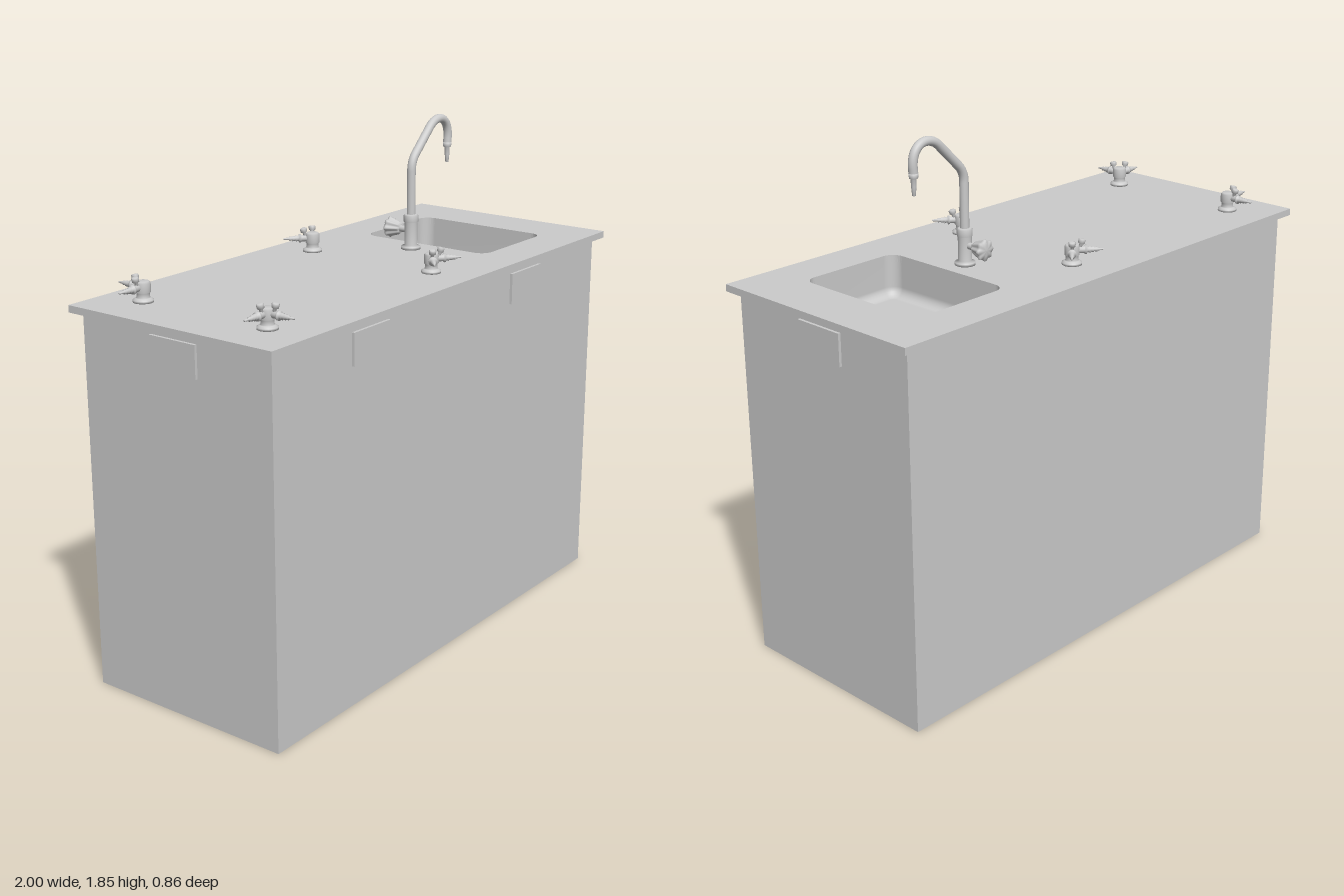
import * as THREE from 'three';

const grey = new THREE.MeshStandardMaterial({ color: 0xcccccc });
const thin = new THREE.MeshStandardMaterial({ color: 0xcccccc, side: THREE.DoubleSide });
const TOP = 1.375;
const SINK = { x: 0.6, z: 0, w: 0.4, d: 0.54, r: 0.045 };

function add(parent, name, geometry, x = 0, y = 0, z = 0, material = grey) {
  const mesh = new THREE.Mesh(geometry, material);
  mesh.name = name;
  mesh.position.set(x, y, z);
  parent.add(mesh);
  return mesh;
}

const lathe = (points, segments = 24) =>
  new THREE.LatheGeometry(points.map(([r, y]) => new THREE.Vector2(r, y)), segments);

// Counter-clockwise corner-rounded rectangle
function roundedRect(w, d, r, cx = 0, cy = 0) {
  const points = [];
  for (let c = 0; c < 4; c++) {
    const sx = c === 0 || c === 3 ? 1 : -1, sy = c < 2 ? 1 : -1;
    for (let i = 0; i <= 8; i++) {
      const a = (c + i / 8) * Math.PI / 2;
      points.push(new THREE.Vector2(
        cx + sx * (w / 2 - r) + r * Math.cos(a), cy + sy * (d / 2 - r) + r * Math.sin(a)));
    }
  }
  return points;
}

const rect = (w, d) => [[-1, -1], [1, -1], [1, 1], [-1, 1]]
  .map(([x, y]) => new THREE.Vector2(x * w / 2, y * d / 2));

// Horizontal slab or tube with one opening, rising from y = 0
function framed(outer, hole, height) {
  const shape = new THREE.Shape(outer);
  shape.holes.push(new THREE.Path(hole));
  return new THREE.ExtrudeGeometry(shape, { depth: height, bevelEnabled: false }).rotateX(-Math.PI / 2);
}

// Basin: stacked rounded loops with a filleted bottom edge
function basinGeometry(depth) {
  const fillet = 0.035, rings = [[0, 0], [0, -depth + fillet]];
  for (let i = 1; i <= 6; i++) {
    const a = i / 6 * Math.PI / 2;
    rings.push([fillet * (1 - Math.cos(a)), -depth + fillet * (1 - Math.sin(a))]);
  }
  const pos = [], index = [];
  let n = 0;
  rings.forEach(([inset, y]) => {
    const loop = roundedRect(SINK.w - 2 * inset, SINK.d - 2 * inset, SINK.r - inset);
    n = loop.length;
    loop.forEach(p => pos.push(p.x, y, -p.y));
  });
  const centre = rings.length * n;
  pos.push(0, -depth, 0);
  for (let k = 0; k < rings.length; k++) {
    for (let i = 0; i < n; i++) {
      const a = k * n + i, b = k * n + (i + 1) % n;
      if (k === rings.length - 1) index.push(a, b, centre);
      else index.push(a, b, b + n, a, b + n, a + n);
    }
  }
  const g = new THREE.BufferGeometry();
  g.setAttribute('position', new THREE.Float32BufferAttribute(pos, 3));
  g.setIndex(index);
  g.computeVertexNormals();
  return g;
}

// Gas valve with two ribbed outlets at the given headings
function valve(x, z, headings) {
  const g = new THREE.Group();
  g.name = 'gasValve';
  g.position.set(x, TOP, z);
  add(g, 'valveBody', lathe([[0, 0], [0.035, 0], [0.035, 0.008], [0.026, 0.014],
    [0.022, 0.016], [0.022, 0.03], [0.026, 0.034], [0.026, 0.064], [0.021, 0.07], [0, 0.07]]));
  headings.forEach(([dx, dz]) => {
    const arm = new THREE.Group();
    arm.name = 'valveOutlet';
    arm.rotation.y = Math.atan2(-dz, dx);
    arm.position.y = 0.05;
    g.add(arm);
    add(arm, 'hoseNozzle', lathe([[0, 0.01], [0.012, 0.01], [0.012, 0.042], [0.016, 0.044], [0.016, 0.05],
      [0.009, 0.053], [0.012, 0.062], [0.008, 0.063], [0.01, 0.074], [0.007, 0.075],
      [0.008, 0.086], [0.005, 0.087], [0.003, 0.108], [0, 0.108]], 16).rotateZ(-Math.PI / 2));
    const knob = add(arm, 'outletKnob', lathe([[0, 0], [0.006, 0], [0.006, 0.018], [0.012, 0.022],
      [0.013, 0.034], [0.009, 0.037], [0, 0.037]], 12), 0.026, 0.002, 0);
    knob.rotation.z = -0.25;
  });
  return g;
}

function faucet() {
  const g = new THREE.Group();
  g.name = 'faucet';
  g.position.set(0.315, TOP, 0);
  add(g, 'faucetBase', lathe([[0, 0], [0.036, 0], [0.036, 0.01], [0.024, 0.016], [0.024, 0.1],
    [0.027, 0.102], [0.027, 0.125], [0.022, 0.13], [0, 0.13]]));

  // Gooseneck spout
  const path = new THREE.CurvePath();
  const v = (x, y) => new THREE.Vector3(x, y, 0);
  path.add(new THREE.LineCurve3(v(0, 0.12), v(0, 0.29)));
  path.add(new THREE.QuadraticBezierCurve3(v(0, 0.29), v(0, 0.325), v(0.025, 0.35)));
  path.add(new THREE.LineCurve3(v(0.025, 0.35), v(0.113, 0.435)));
  path.add(new THREE.CubicBezierCurve3(v(0.113, 0.435), v(0.16, 0.48), v(0.235, 0.465), v(0.232, 0.385)));
  path.add(new THREE.LineCurve3(v(0.232, 0.385), v(0.23, 0.36)));
  add(g, 'spout', new THREE.TubeGeometry(path, 80, 0.016, 16));
  add(g, 'spoutNozzle', lathe([[0, 0.289], [0.006, 0.289], [0.009, 0.32], [0.01, 0.345],
    [0.015, 0.348], [0.017, 0.365], [0, 0.366]], 16), 0.23, 0, 0);

  // Fluted tap handle on a short stem
  const stem = add(g, 'tapStem', new THREE.CylinderGeometry(0.012, 0.012, 0.045, 16), 0, 0.07, -0.035);
  stem.rotation.x = Math.PI / 2;
  const handle = lathe([[0, 0], [0.017, 0], [0.021, 0.006], [0.032, 0.042], [0.036, 0.046],
    [0.034, 0.053], [0.018, 0.057], [0, 0.058]], 48);
  const p = handle.attributes.position;
  for (let i = 0; i < p.count; i++) {
    const s = 1 + 0.1 * Math.cos(8 * Math.atan2(p.getZ(i), p.getX(i)));
    p.setXYZ(i, p.getX(i) * s, p.getY(i), p.getZ(i) * s);
  }
  handle.computeVertexNormals();
  add(g, 'tapHandle', handle, 0, 0.07, -0.046).rotation.x = -Math.PI / 2;
  return g;
}

export function createModel() {
  const model = new THREE.Group();
  model.name = 'labSinkBench';

  // Open-bottomed cabinet shell and worktop
  add(model, 'cabinet', framed(rect(1.93, 0.8), rect(1.89, 0.76), 1.352));
  add(model, 'worktop', framed(rect(2, 0.86), roundedRect(SINK.w, SINK.d, SINK.r, SINK.x, SINK.z), 0.025),
    0, 1.35, 0);

  // Sink
  const depth = 0.15;
  add(model, 'sinkBasin', basinGeometry(depth), SINK.x, TOP - 0.001, SINK.z, thin);
  add(model, 'sinkDrain', lathe([[0, 0.001], [0.03, 0.001], [0.034, 0.004], [0.04, 0.004], [0.042, 0]].reverse(), 32),
    SINK.x, TOP - depth, SINK.z, thin);

  // Socket plates on the front and both ends
  for (const x of [-0.472, 0.468])
    add(model, 'frontPlate', new THREE.BoxGeometry(0.195, 0.113, 0.02), x, 1.272, 0.4);
  for (const s of [-1, 1])
    add(model, 'endPlate', new THREE.BoxGeometry(0.02, 0.113, 0.195), s * 0.965, 1.272, 0);

  // Fittings
  model.add(faucet());
  for (const s of [-1, 1]) {
    model.add(valve(-0.822, s * 0.265, [[-1, 0], [0, s]]));
    model.add(valve(0.065, s * 0.265, [[-1, s * 0.87], [1, s * 0.87]]));
  }
  return model;
}
